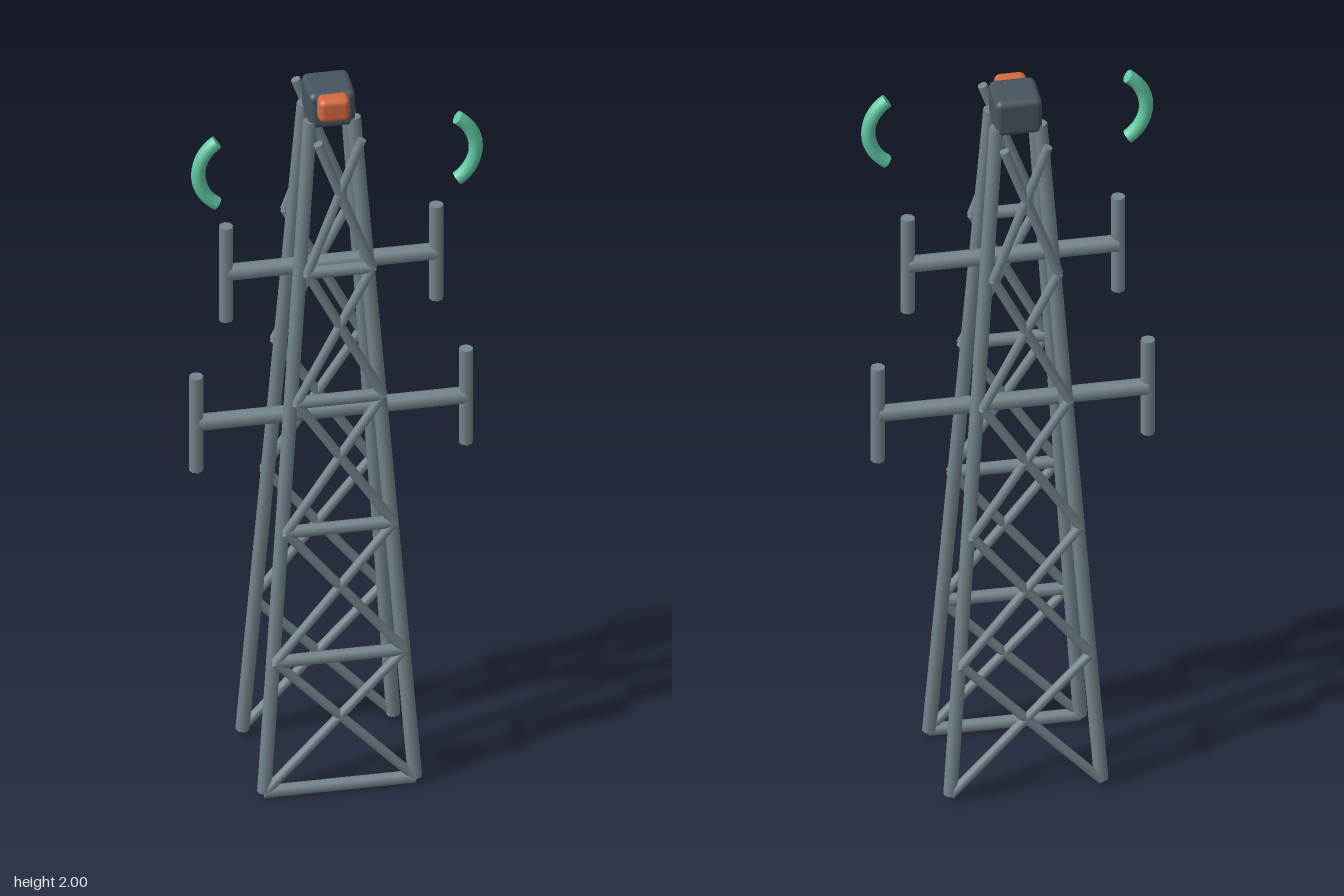
import * as THREE from 'three';
import { RoundedBoxGeometry } from 'three/addons/geometries/RoundedBoxGeometry.js';

const material = (name, color) => Object.assign(new THREE.MeshStandardMaterial({ color }), { name });

export function createModel() {
  const tower = new THREE.Group();
  tower.name = 'latticeTower';
  const steel = material('steel', 0x74858c);
  const dark = material('darkHousing', 0x47545e);
  const orange = material('orangeBeacon', 0xd4693f);
  const green = material('greenSignal', 0x62c8a4);

  const add = (name, geometry, mat, x = 0, y = 0, z = 0) => {
    const mesh = new THREE.Mesh(geometry, mat);
    mesh.name = name;
    mesh.position.set(x, y, z);
    tower.add(mesh);
    return mesh;
  };

  // Round bar between two points
  const bar = (name, a, b, radius) => {
    const start = new THREE.Vector3(...a), end = new THREE.Vector3(...b);
    const dir = end.clone().sub(start);
    const mesh = add(name, new THREE.CylinderGeometry(radius, radius, dir.length(), 8), steel);
    mesh.position.copy(start).add(end).multiplyScalar(0.5);
    mesh.quaternion.setFromUnitVectors(new THREE.Vector3(0, 1, 0), dir.normalize());
  };

  // Four legs leaning inwards
  for (const sx of [-1, 1]) {
    for (const sz of [-1, 1]) {
      bar('leg', [sx * 0.19, 0.02, sz * 0.145], [sx * 0.055, 1.92, sz * 0.042], 0.018);
    }
  }

  // Lattice: crossed braces front and back, level rungs on the front only
  const levels = 5;
  const levelY = i => 0.02 + 0.38 * i;
  const halfWidth = i => 0.19 - 0.027 * i;
  for (let i = 0; i < levels; i++) {
    const w = halfWidth(i);
    bar('frontRung', [-w, levelY(i), 0.147], [w, levelY(i), 0.147], 0.0165);
    for (const z of [-0.15, 0.15]) {
      for (const s of [-1, 1]) {
        bar('crossBrace', [s * w, levelY(i), z], [-s * halfWidth(i + 1), levelY(i + 1), z], 0.0125);
      }
    }
  }

  // Cross arms with an upright antenna at each end
  for (const [y, reach] of [[1.055, 0.34], [1.49, 0.265]]) {
    bar('crossArm', [-reach, y, 0.031], [reach, y, 0.031], 0.022);
    for (const s of [-1, 1]) {
      bar('uprightAntenna', [s * reach, y - 0.138, 0.032], [s * reach, y + 0.138, 0.032], 0.018);
    }
  }

  // Head housing with its beacon
  add('headHousing', new RoundedBoxGeometry(0.118, 0.1, 0.118, 2, 0.016), dark, 0, 1.95, -0.002);
  add('beacon', new RoundedBoxGeometry(0.08, 0.066, 0.05, 2, 0.016), orange, 0, 1.966, 0.062);

  // Curved signal arcs on both sides, with closed ends
  const R = 0.11, r = 0.018, half = 0.96;
  for (const s of [-1, 1]) {
    const arc = new THREE.Group();
    arc.name = s > 0 ? 'leftSignalArc' : 'rightSignalArc';
    arc.position.set(s * 0.24, 1.84, 0.11);
    arc.rotation.z = (s > 0 ? 0 : Math.PI) - half;
    const tube = new THREE.Mesh(new THREE.TorusGeometry(R, r, 10, 14, 2 * half), green);
    tube.name = 'arcTube';
    arc.add(tube);
    for (const [angle, turn] of [[0, Math.PI / 2], [2 * half, -Math.PI / 2]]) {
      const pivot = new THREE.Group();
      pivot.name = 'arcEnd';
      pivot.rotation.z = angle;
      const cap = new THREE.Mesh(new THREE.CircleGeometry(r, 10), green);
      cap.name = 'arcCap';
      cap.position.x = R;
      cap.rotation.x = turn;
      pivot.add(cap);
      arc.add(pivot);
    }
    tower.add(arc);
  }
  return tower;
}
